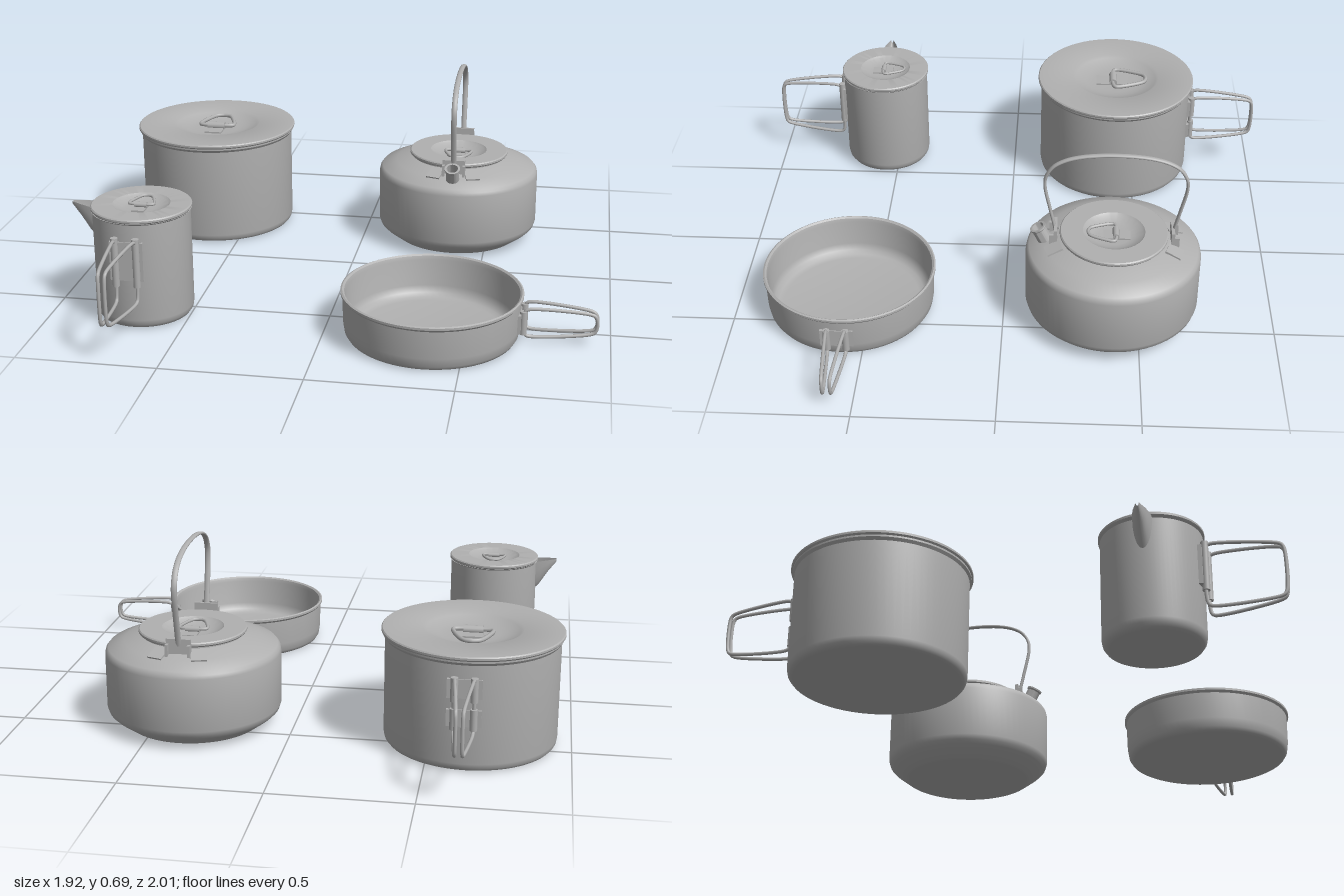
import * as THREE from 'three';
import { toCreasedNormals } from 'three/addons/utils/BufferGeometryUtils.js';

const metal = new THREE.MeshStandardMaterial({ color: 0xb0b0b0, side: THREE.DoubleSide });
metal.name = 'brushed metal';

function part(name, geometry, parent) {
  const mesh = new THREE.Mesh(geometry, metal);
  mesh.name = name;
  parent.add(mesh);
  return mesh;
}

function group(name, parent, x = 0, y = 0, z = 0, turn = 0) {
  const g = new THREE.Group();
  g.name = name;
  g.position.set(x, y, z);
  g.rotation.y = turn;
  parent.add(g);
  return g;
}

const v = (x, y, z) => new THREE.Vector3(x, y, z);

function lathe(name, profile, parent) {
  const pts = profile.map(([r, y]) => new THREE.Vector2(r, y));
  return part(name, toCreasedNormals(new THREE.LatheGeometry(pts, 72), 0.6), parent);
}

function box(name, w, h, d, x, y, z, parent) {
  const m = part(name, new THREE.BoxGeometry(w, h, d), parent);
  m.position.set(x, y, z);
  return m;
}

// Closed wire with rounded corners
function wireLoop(name, corners, radius, bend, parent) {
  const pts = [];
  corners.forEach((p, i) => {
    const a = corners[(i + corners.length - 1) % corners.length];
    const b = corners[(i + 1) % corners.length];
    const before = p.clone().add(a.clone().sub(p).setLength(bend));
    const after = p.clone().add(b.clone().sub(p).setLength(bend));
    const middle = before.clone().add(after).multiplyScalar(0.3).addScaledVector(p, 0.4);
    pts.push(before, middle, after);
  });
  const curve = new THREE.CatmullRomCurve3(pts, true);
  return part(name, new THREE.TubeGeometry(curve, 96, radius, 8, true), parent);
}

// Folding handle: two wire loops converging outwards from wall brackets (+z is outwards)
function foldingHandle(parent, { length, top, bottom, tipTop, tipBottom, base, tip, plates }) {
  for (const s of [-1, 1]) {
    wireLoop('handleWire', [
      v(s * base, top, 0.012), v(s * tip, tipTop, length),
      v(s * tip, tipBottom, length), v(s * base, bottom, 0.012),
    ], 0.0065, 0.022, parent);
  }
  for (const [low, high] of plates) {
    const mid = (low + high) / 2, h = high - low;
    box('bracketPlate', 0.12, h * 0.8, 0.014, 0, mid, -0.004, parent);
    for (const s of [-1, 1]) {
      const hinge = part('bracketHinge', new THREE.CylinderGeometry(0.013, 0.013, h, 12), parent);
      hinge.position.set(s * base, mid, 0.01);
    }
  }
}

// Dished lid with a folded triangular ring
function lid(parent, r, y, dishR, depth, size, turn) {
  lathe('lid', [[0, y - 0.03 - depth], [dishR * 0.7, y - 0.03 - depth], [r * 0.9, y - 0.016],
    [r - 0.004, y - 0.016], [r, y - 0.011], [r, y - 0.004], [r - 0.004, y],
    [dishR, y], [dishR * 0.93, y - depth * 0.3], [dishR * 0.68, y - depth * 0.85],
    [dishR * 0.5, y - depth], [0, y - depth]], parent);
  const ring = group('lidRing', parent, 0, y - depth, 0, turn);
  wireLoop('ringWire', [
    v(-0.078 * size, 0.014, 0.01 * size), v(0.078 * size, 0.014, 0.01 * size),
    v(0.03 * size, 0.016, -0.125 * size), v(-0.03 * size, 0.016, -0.125 * size),
  ], 0.008 * size, 0.025 * size, ring);
  box('ringTab', 0.07 * size, 0.006, 0.13 * size, 0, 0.003, 0.015 * size, ring);
  const clip = part('ringClip', new THREE.CylinderGeometry(0.016 * size, 0.016 * size, 0.07 * size, 12), ring);
  clip.rotation.z = Math.PI / 2;
  clip.position.set(0, 0.012, 0.01 * size);
}

function buildPot(root) {
  const pot = group('pot', root, -0.64, 0, -0.42);
  lathe('potBody', [[0, 0], [0.288, 0], [0.298, 0.004], [0.306, 0.014], [0.309, 0.03],
    [0.309, 0.385], [0.316, 0.395], [0.316, 0.402], [0.3, 0.402]], pot);
  lid(pot, 0.322, 0.418, 0.178, 0.025, 1, 0);
  foldingHandle(group('potHandle', pot, 0.008, 0, -0.31, Math.PI), {
    length: 0.264, top: 0.345, bottom: 0.145, tipTop: 0.325, tipBottom: 0.168,
    base: 0.034, tip: 0.012, plates: [[0.26, 0.345], [0.16, 0.235]],
  });
}

function buildMug(root) {
  const mug = group('mug', root, -0.67, 0, 0.55);
  lathe('mugBody', [[0, 0], [0.15, 0], [0.162, 0.005], [0.171, 0.018], [0.174, 0.035],
    [0.174, 0.395], [0.179, 0.4], [0.165, 0.402]], mug);
  lid(mug, 0.18, 0.416, 0.103, 0.018, 0.64, 0);
  foldingHandle(group('mugHandle', mug, -0.008, 0, 0.174), {
    length: 0.268, top: 0.345, bottom: 0.11, tipTop: 0.328, tipBottom: 0.135,
    base: 0.038, tip: 0.011, plates: [[0.17, 0.35]],
  });
  // Beak spout: U-shaped sections narrowing to the tip
  const sections = [[-0.165, 0.034, 0.125], [-0.19, 0.03, 0.1], [-0.22, 0.021, 0.055], [-0.255, 0.005, 0.012]];
  const pos = [], index = [], n = 10;
  sections.forEach(([x, w, d], i) => {
    for (let j = 0; j <= n; j++) {
      const a = Math.PI * j / n;
      pos.push(x, 0.398 + 0.01 * i / 3 - d * Math.sin(a), w * Math.cos(a));
      if (i < 3 && j < n) {
        const p = i * (n + 1) + j, q = p + n + 1;
        index.push(p, p + 1, q, q, p + 1, q + 1);
      }
    }
  });
  const g = new THREE.BufferGeometry();
  g.setAttribute('position', new THREE.Float32BufferAttribute(pos, 3));
  g.setIndex(index);
  g.computeVertexNormals();
  part('mugSpout', g, mug);
}

function buildPan(root) {
  const pan = group('pan', root, 0.376, 0, 0.575);
  lathe('panBody', [[0, 0], [0.288, 0], [0.298, 0.005], [0.306, 0.018], [0.311, 0.05],
    [0.313, 0.15], [0.32, 0.158], [0.32, 0.166], [0.314, 0.169], [0.307, 0.164],
    [0.303, 0.15], [0.299, 0.05], [0.29, 0.025], [0.275, 0.013], [0.255, 0.009], [0, 0.009]], pan);
  foldingHandle(group('panHandle', pan, 0.312, 0, 0.01, Math.PI / 2), {
    length: 0.262, top: 0.135, bottom: 0.03, tipTop: 0.119, tipBottom: 0.048,
    base: 0.034, tip: 0.014, plates: [[0.04, 0.125]],
  });
}

function buildKettle(root) {
  const kettle = group('kettle', root, 0.374, 0, -0.4);
  lathe('kettleBody', [[0, 0], [0.238, 0], [0.25, 0.005], [0.3, 0.042], [0.314, 0.056], [0.32, 0.075],
    [0.32, 0.27], [0.317, 0.284], [0.308, 0.295], [0.25, 0.318], [0.205, 0.333],
    [0.185, 0.338], [0.185, 0.35]], kettle);
  lid(kettle, 0.197, 0.361, 0.113, 0.022, 0.75, Math.PI);

  // Bail handle: flat strip
  const half = [[0.21, 0.345], [0.218, 0.385], [0.235, 0.46], [0.253, 0.55], [0.25, 0.59],
    [0.225, 0.632], [0.185, 0.658], [0.13, 0.675], [0.06, 0.684]];
  const path = new THREE.CatmullRomCurve3([
    ...half.map(([z, y]) => v(0, y, z)), v(0, 0.686, 0),
    ...half.slice().reverse().map(([z, y]) => v(0, y, -z)),
  ]);
  const tube = new THREE.TubeGeometry(path, 90, 0.006, 10, false);
  tube.scale(1.8, 1, 1);
  part('bailHandle', tube, kettle);

  // Handle brackets at front and back
  for (const turn of [0, Math.PI]) {
    const bracket = group('handleBracket', kettle, 0, 0, 0, turn);
    box('bracketUpright', 0.088, 0.06, 0.012, 0, 0.353, 0.212, bracket);
    for (const s of [-1, 1]) {
      box('bracketCheek', 0.01, 0.05, 0.03, s * 0.04, 0.34, 0.22, bracket);
      const foot = box('bracketFoot', 0.055, 0.01, 0.06, s * 0.072, 0.326, 0.218, bracket);
      foot.rotation.set(0.36, s * 0.3, 0, 'YXZ');
    }
  }

  // Pouring spout, tilted outwards
  const spout = group('kettleSpout', kettle, 0, 0.338, 0.262);
  spout.rotation.x = 0.45;
  lathe('spoutTube', [[0.026, -0.045], [0.026, 0.025], [0.03, 0.03], [0.03, 0.036],
    [0.022, 0.036], [0.02, -0.03], [0, -0.03]], spout);
}

export function createModel() {
  const root = new THREE.Group();
  root.name = 'cookwareSet';
  buildPot(root);
  buildMug(root);
  buildPan(root);
  buildKettle(root);
  return root;
}
